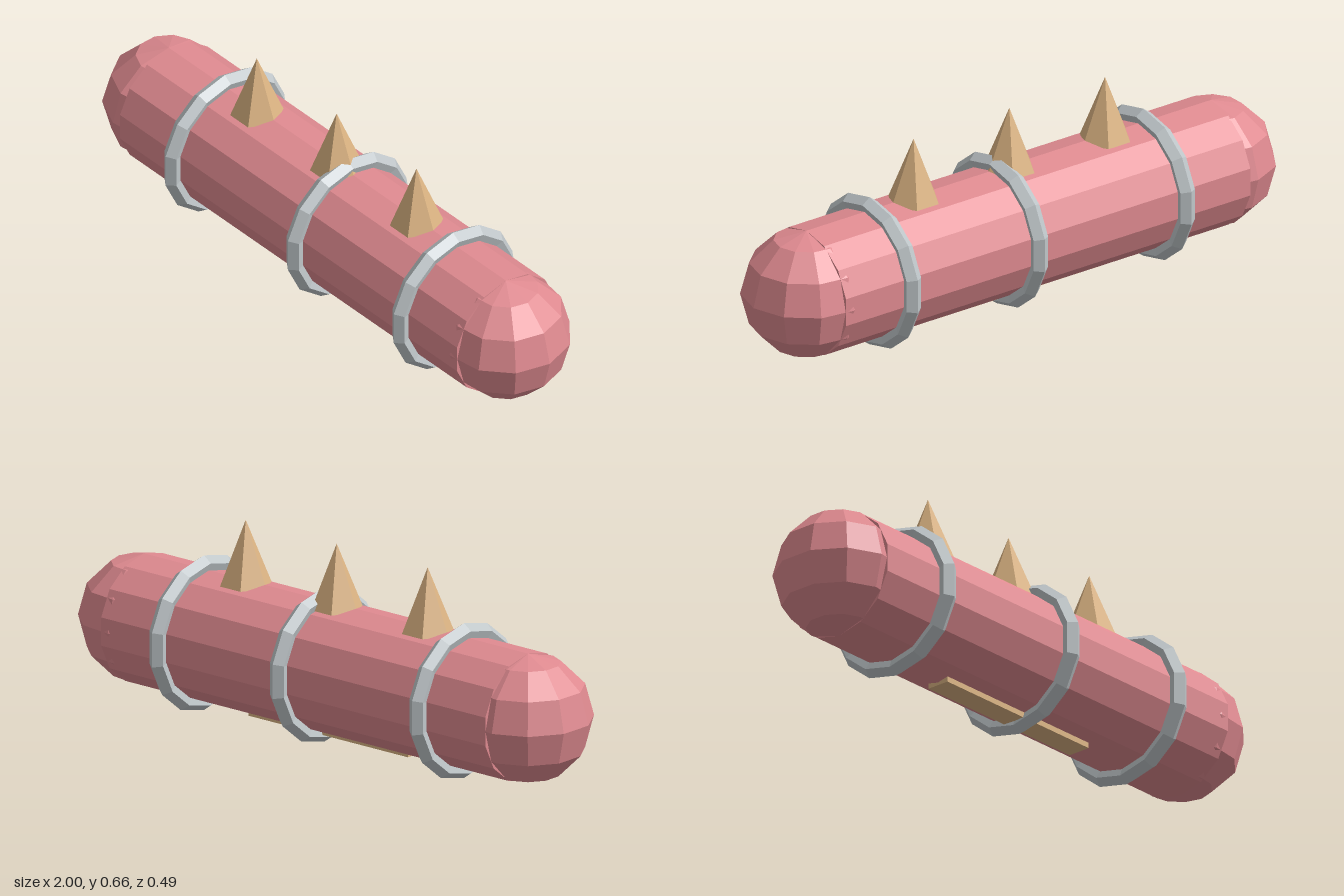
import * as THREE from 'three';

const RADIUS = 0.208, AXIS_Y = 0.255, MID_X = -0.004, HALF = 0.796;

const material = (color) => new THREE.MeshStandardMaterial({ color, flatShading: true });

export function createModel() {
  const model = new THREE.Group();
  const pink = material(0xdf8a90);
  const steel = material(0xbfc6c9);
  const tan = material(0xdcb483);

  const add = (name, geometry, mat, x, y, z = 0) => {
    const mesh = new THREE.Mesh(geometry, mat);
    mesh.name = name;
    mesh.position.set(x, y, z);
    model.add(mesh);
    return mesh;
  };

  // Long faceted body lying along x, with one edge on top
  const tube = new THREE.CylinderGeometry(RADIUS, RADIUS, HALF * 2, 14);
  tube.rotateY(Math.PI / 2).rotateZ(Math.PI / 2);
  add('body', tube, pink, MID_X, AXIS_Y);

  // Rounded ends: coarse spheres with a vertex toward +x
  const cap = new THREE.SphereGeometry(RADIUS, 11, 6).rotateY(Math.PI);
  add('leftEnd', cap, pink, MID_X + HALF, AXIS_Y);
  add('rightEnd', cap, pink, MID_X - HALF, AXIS_Y);

  // Metal bands around the body
  const band = new THREE.TorusGeometry(0.223, 0.03, 5, 14);
  band.rotateZ(Math.PI / 2).rotateY(Math.PI / 2);
  [-0.535, 0.043, 0.543].forEach((x, i) => add(`band${i + 1}`, band, steel, x, AXIS_Y));

  // Six-sided spikes along the top
  const spike = new THREE.ConeGeometry(0.085, 0.21, 6).rotateY(Math.PI / 2);
  [-0.384, -0.007, 0.37].forEach((x, i) => add(`spike${i + 1}`, spike, tan, x, 0.555));

  // Thin strip under the belly
  add('bellyStrip', new THREE.BoxGeometry(0.66, 0.02, 0.08), tan, -0.007, 0.048);

  return model;
}
